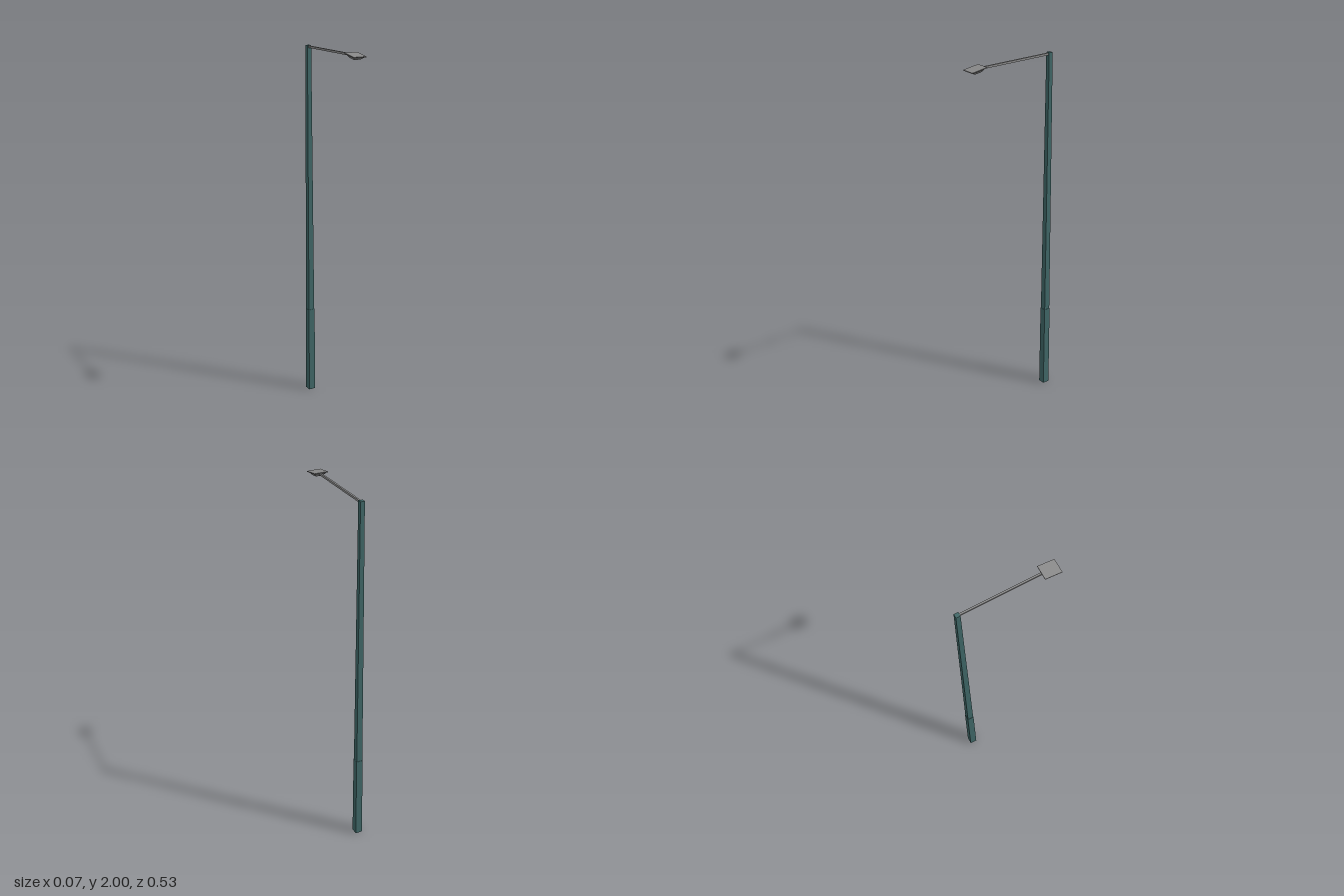
import * as THREE from 'three';

// Four-sided block whose rectangle changes from bottom (w0 x d0) to top (w1 x d1).
function taperedBlock(w0, d0, w1, d1, y0, y1) {
  const geo = new THREE.BoxGeometry(1, y1 - y0, 1);
  geo.translate(0, (y0 + y1) / 2, 0);
  const p = geo.attributes.position;
  const mid = (y0 + y1) / 2;
  for (let i = 0; i < p.count; i++) {
    const top = p.getY(i) > mid;
    p.setX(i, p.getX(i) * (top ? w1 : w0));
    p.setZ(i, p.getZ(i) * (top ? d1 : d0));
  }
  geo.computeVertexNormals();
  return geo;
}

export function createModel() {
  const model = new THREE.Group();
  model.name = 'streetLamp';
  const green = new THREE.MeshStandardMaterial({ color: 0x3f6666, flatShading: true });
  const grey = new THREE.MeshStandardMaterial({ color: 0x888888, flatShading: true });

  function add(parent, name, geo, mat, z = 0) {
    const mesh = new THREE.Mesh(geo, mat);
    mesh.name = name;
    mesh.position.z = z;
    parent.add(mesh);
    return mesh;
  }

  // Square post: wide base sleeve, then a slender tapering shaft
  const poleZ = -0.247;
  add(model, 'baseSleeve', taperedBlock(0.039, 0.039, 0.037, 0.037, 0, 0.5), green, poleZ);
  add(model, 'poleShaft', taperedBlock(0.034, 0.034, 0.023, 0.023, 0.5, 1.998), green, poleZ);

  // Horizontal arm reaching forward to the lamp head
  const arm = add(model, 'arm', new THREE.BoxGeometry(0.01, 0.011, 0.432), grey, -0.026);
  arm.position.y = 1.99;

  // Lamp head, nose tipped slightly down: flat cover over a tapered housing
  const head = new THREE.Group();
  head.name = 'lampHead';
  head.position.set(0, 1.992, 0.222);
  head.rotation.x = 0.15;
  add(head, 'cover', new THREE.BoxGeometry(0.074, 0.004, 0.09), grey, 0);
  add(head, 'housing', taperedBlock(0.036, 0.038, 0.066, 0.078, -0.019, -0.002), grey, 0);
  model.add(head);

  return model;
}
